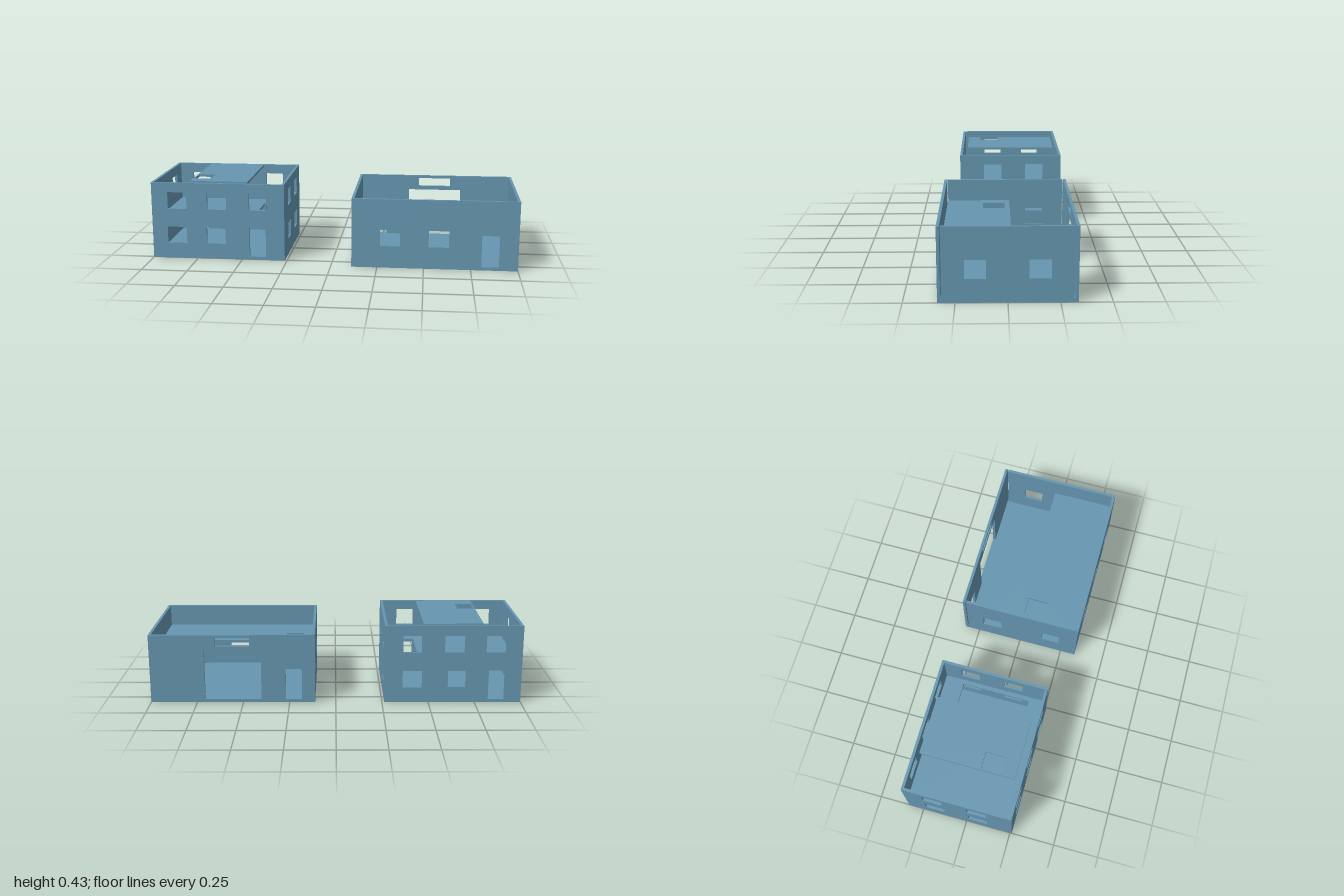
import * as THREE from 'three';

const T = 0.015;      // wall thickness
const FLOOR = 0.018;  // top of the ground slabs

// Flat panel on a (u, v) plane; openings are [u0, u1, v0, v1]
// and become notches when they reach the lower edge.
function panelGeometry([u0, u1, v0, v1], openings, depth) {
  const shape = new THREE.Shape();
  shape.moveTo(u0, v0);
  const isDoor = (o) => o[2] <= v0;
  for (const [a, b, , top] of openings.filter(isDoor).sort((p, q) => p[0] - q[0])) {
    shape.lineTo(a, v0);
    shape.lineTo(a, top);
    shape.lineTo(b, top);
    shape.lineTo(b, v0);
  }
  shape.lineTo(u1, v0);
  shape.lineTo(u1, v1);
  shape.lineTo(u0, v1);
  shape.closePath();
  for (const [a, b, c, d] of openings.filter((o) => !isDoor(o))) {
    const hole = new THREE.Path();
    hole.moveTo(a, c);
    hole.lineTo(a, d);
    hole.lineTo(b, d);
    hole.lineTo(b, c);
    hole.closePath();
    shape.holes.push(hole);
  }
  return new THREE.ExtrudeGeometry(shape, { depth, bevelEnabled: false });
}

export function createModel() {
  const blue = new THREE.MeshStandardMaterial({ color: 0x6696b0 });
  blue.name = 'slateBlue';

  const add = (group, name, geometry) => {
    const mesh = new THREE.Mesh(geometry, blue);
    mesh.name = name;
    group.add(mesh);
  };
  // Wall across x, starting at depth z
  const wallX = (group, name, z, rect, openings) =>
    add(group, name, panelGeometry(rect, openings, T).translate(0, 0, z));
  // Wall along z, starting at x; u runs along z
  const wallZ = (group, name, x, rect, openings) =>
    add(group, name, panelGeometry(rect, openings, T).rotateY(-Math.PI / 2).translate(x + T, 0, 0));
  // Horizontal slab with its top at y; u is x and v is z
  const slab = (group, name, y, thick, rect, openings = []) =>
    add(group, name, panelGeometry(rect, openings, thick).rotateX(Math.PI / 2).translate(0, y, 0));

  // Two-storey house
  const house = new THREE.Group();
  house.name = 'house';
  {
    const x0 = -1, x1 = -0.262, z0 = -0.335, z1 = 0.26, top = 0.426;
    const upper = [0.28, 0.373], lower = [0.087, 0.178];
    const across = [x0, x1, FLOOR, top];
    const along = [z0 + T, z1 - T, FLOOR, top];
    slab(house, 'groundSlab', FLOOR, FLOOR, [x0, x1, z0, z1]);

    wallX(house, 'frontWall', z1 - T, across, [
      [-0.91, -0.805, ...upper], [-0.69, -0.583, ...upper], [-0.457, -0.36, ...upper],
      [-0.915, -0.808, ...lower], [-0.696, -0.59, ...lower],
      [-0.457, -0.366, FLOOR, 0.18],
    ]);
    wallX(house, 'backWall', z0, across, [
      [-0.91, -0.805, ...upper], [-0.69, -0.583, ...upper], [-0.46, -0.36, ...upper],
      [-0.70, -0.604, ...lower], [-0.465, -0.36, 0.083, 0.178],
      [-0.91, -0.823, FLOOR, 0.18],
    ]);
    const sideWindows = [];
    for (const row of [upper, lower])
      for (const z of [-0.228, 0.015]) sideWindows.push([z, z + 0.105, ...row]);
    wallZ(house, 'rightWall', x0, along, sideWindows);
    wallZ(house, 'leftWall', x1 - T, along, sideWindows);

    // Upper floor with its stairwell, and the roof panel with a hatch
    slab(house, 'upperFloor', 0.212, T, [x0 + T, x1 - T, z0 + T, z1 - T],
      [[-0.455, -0.30, -0.215, 0.165]]);
    slab(house, 'roofPanel', 0.43, 0.013, [-0.79, -0.47, -0.30, 0.22],
      [[-0.782, -0.69, 0.035, 0.145]]);
  }

  // Workshop with a wide gate and a mezzanine
  const workshop = new THREE.Group();
  workshop.name = 'workshop';
  {
    const x0 = 0.112, x1 = 1, z0 = -0.335, z1 = 0.335, top = 0.377;
    const row = [0.12, 0.214];
    const across = [x0, x1, FLOOR, top];
    // Side walls stop just short of the front and back walls
    const along = [-0.315, 0.316, FLOOR, top];
    slab(workshop, 'groundSlab', FLOOR, FLOOR, [x0, x1, z0, z1]);

    wallX(workshop, 'frontWall', z1 - T, across, [
      [0.265, 0.373, 0.12, 0.21], [0.525, 0.633, 0.12, 0.21],
      [0.806, 0.9, FLOOR, 0.19],
    ]);
    wallX(workshop, 'backWall', z0, across, [
      [0.183, 0.27, FLOOR, 0.19],
      [0.402, 0.706, FLOOR, 0.293],
      [0.461, 0.645, 0.315, 0.362],
    ]);
    wallZ(workshop, 'rightWall', x0, along, [[-0.22, -0.112, ...row], [0.13, 0.232, ...row]]);
    wallZ(workshop, 'leftWall', x1 - T, along, [[-0.207, -0.1, ...row], [0.104, 0.206, ...row]]);

    slab(workshop, 'mezzanine', 0.26, T, [x0 + T, x1 - T, -0.022, 0.3175],
      [[0.183, 0.283, 0.005, 0.122]]);
  }

  const model = new THREE.Group();
  model.name = 'buildings';
  model.add(house, workshop);
  return model;
}
